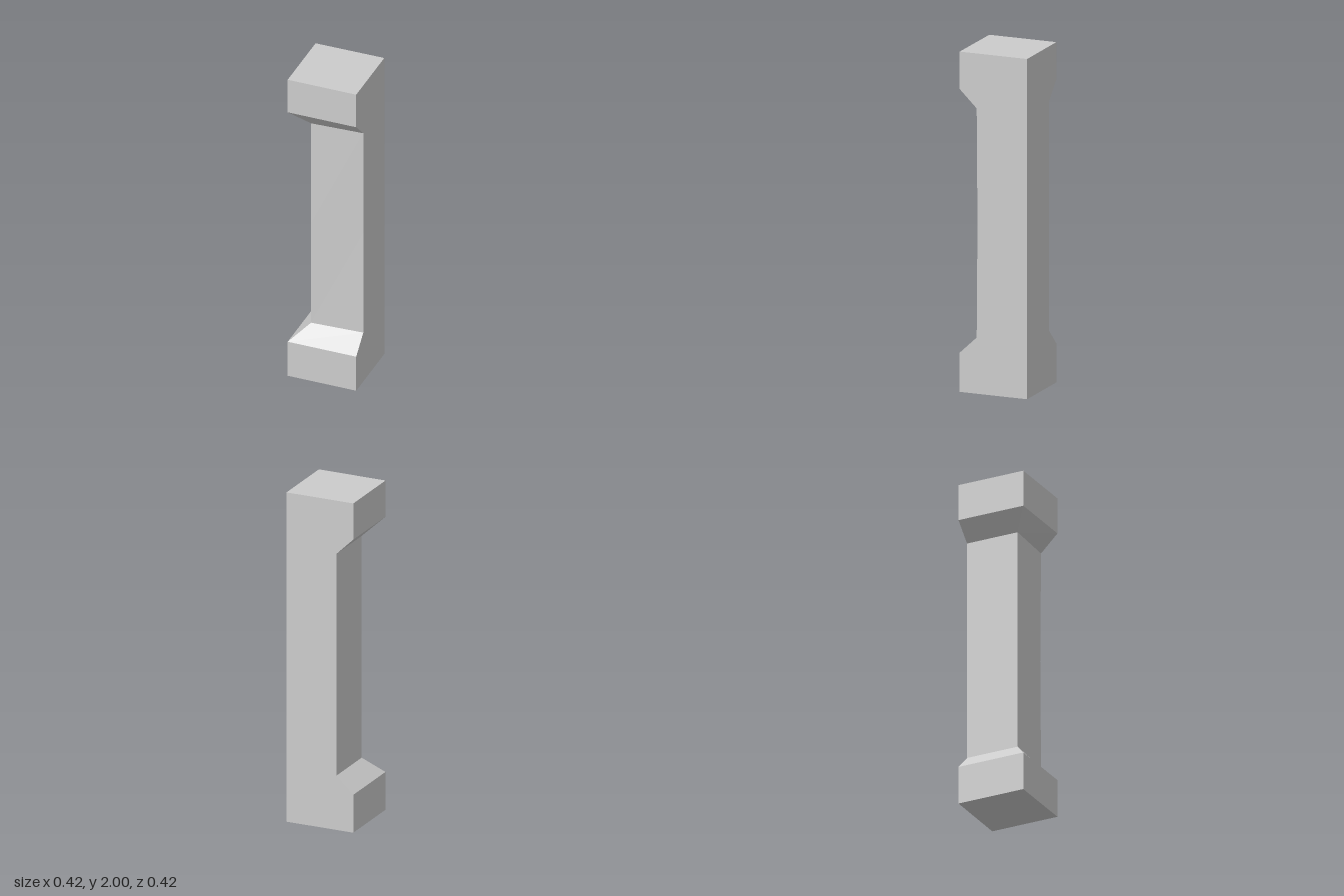
import * as THREE from 'three';

// Cross-section corners [x, z], counter-clockwise from above, starting front at -x
const block = [[-0.211, 0.21], [0.21, 0.208], [0.21, -0.212], [-0.211, -0.207]];
const shaft = (frontZ) => [[-0.105, 0.118], [0.21, frontZ], [0.21, -0.212], [-0.105, -0.208]];

// Stacked levels: foot, bevel, slightly hollowed shaft, bevel, head
const levels = [
  [0, block], [0.23, block],
  [0.33, shaft(0.102)], [1.0, shaft(0.097)], [1.677, shaft(0.102)],
  [1.78, block], [2, block],
];

function loft(levels) {
  const positions = [];
  const rings = levels.map(([y, ring]) => ring.map(([x, z]) => [x, y, z]));
  const quad = (a, b, c, d) => positions.push(...a, ...b, ...c, ...a, ...c, ...d);
  for (let k = 0; k < rings.length - 1; k++) {
    const low = rings[k], high = rings[k + 1];
    for (let i = 0; i < 4; i++) {
      const j = (i + 1) % 4;
      quad(low[i], low[j], high[j], high[i]);
    }
  }
  // End caps
  quad(...rings[rings.length - 1]);
  quad(...[...rings[0]].reverse());
  const geometry = new THREE.BufferGeometry();
  geometry.setAttribute('position', new THREE.Float32BufferAttribute(positions, 3));
  geometry.computeVertexNormals();
  return geometry;
}

export function createModel() {
  const group = new THREE.Group();
  group.name = 'cornerPost';
  const material = new THREE.MeshStandardMaterial({ color: 0xcccccc, flatShading: true });
  const post = new THREE.Mesh(loft(levels), material);
  post.name = 'post';
  group.add(post);
  return group;
}
